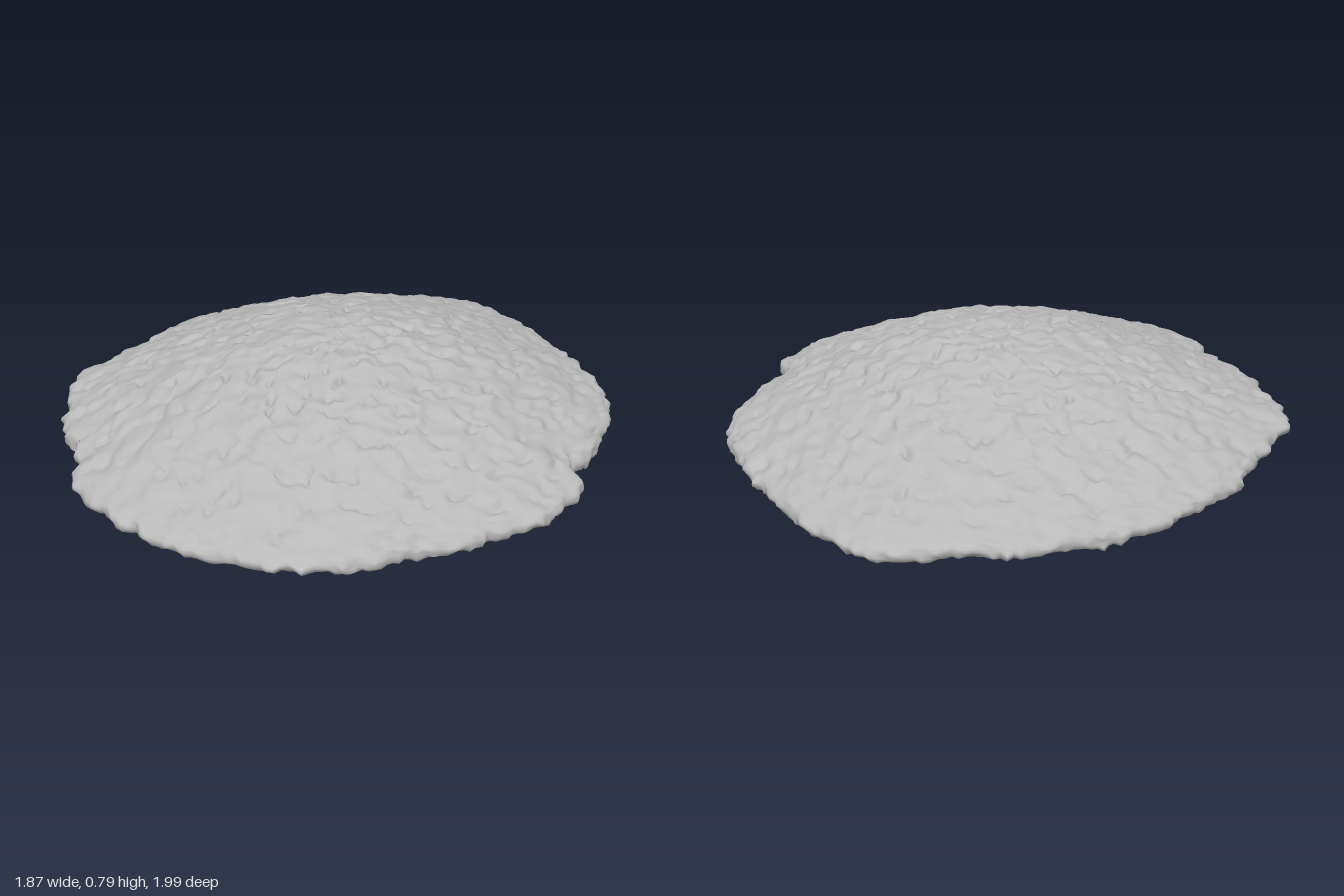
import * as THREE from 'three';
import { mergeVertices } from 'three/addons/utils/BufferGeometryUtils.js';

const grey = new THREE.MeshStandardMaterial({ color: 0xbababa });
grey.name = 'plain grey';

// Seeded lattice noise, range -1..1
function hash(x, y, z) {
  let h = Math.imul(x, 374761393) ^ Math.imul(y, 668265263) ^ Math.imul(z, 2147425257);
  h = Math.imul(h ^ (h >>> 13), 1274126177);
  return (((h ^ (h >>> 16)) >>> 0) / 4294967295) * 2 - 1;
}
function noise(x, y, z) {
  const i = Math.floor(x), j = Math.floor(y), k = Math.floor(z);
  const s = t => t * t * (3 - 2 * t);
  const u = s(x - i), v = s(y - j), w = s(z - k);
  const L = THREE.MathUtils.lerp;
  const row = (b, c) => L(hash(i, j + b, k + c), hash(i + 1, j + b, k + c), u);
  return L(L(row(0, 0), row(1, 0), v), L(row(0, 1), row(1, 1), v), w);
}

// Canopy outline: [angle from +x towards +z in degrees, radius]
const outline = [
  [0, 0.925], [15, 0.9], [27, 0.885], [47, 0.945], [60, 0.955], [75, 0.97], [90, 0.985], [97, 0.995],
  [103, 0.98], [110, 0.93], [120, 0.95], [135, 0.98], [148, 1.0], [156, 0.95], [165, 0.92], [180, 0.925],
  [195, 0.91], [210, 0.925], [225, 0.945], [238, 0.95], [246, 1.0], [255, 1.03], [263, 1.0], [270, 0.975],
  [285, 0.925], [300, 0.935], [315, 0.94], [330, 0.885], [341, 0.855], [344, 0.865], [346, 0.915], [360, 0.925],
];
function outlineRadius(deg) {
  const n = outline.findIndex(p => p[0] >= deg);
  if (n <= 0) return outline[0][1];
  const [a, ra] = outline[n - 1], [b, rb] = outline[n];
  return ra + (rb - ra) * (deg - a) / (b - a);
}

// Canopy section from the underside centre, round the rim, to the crown
const section = [
  [0, 0.5], [0.3, 0.498], [0.6, 0.49], [0.85, 0.478], [0.96, 0.472], [0.99, 0.476], [1, 0.5],
  [0.985, 0.52], [0.92, 0.545], [0.8, 0.592], [0.6, 0.67], [0.4, 0.735], [0.2, 0.775], [0, 0.783],
];

function buildCanopy() {
  // Even steps along the section
  const path = new THREE.CurvePath();
  for (let i = 1; i < section.length; i++) {
    path.add(new THREE.LineCurve(new THREE.Vector2(...section[i - 1]), new THREE.Vector2(...section[i])));
  }
  const geo = new THREE.LatheGeometry(path.getSpacedPoints(190), 300);
  const p = geo.attributes.position;
  for (let i = 0; i < p.count; i++) {
    const x = p.getX(i), y = p.getY(i), z = p.getZ(i);
    const r = Math.hypot(x, z);
    const deg = r < 1e-6 ? 0 : (THREE.MathUtils.radToDeg(Math.atan2(z, x)) + 360) % 360;
    const edge = THREE.MathUtils.smoothstep(r, 0.8, 1);
    const jag = edge * (0.012 * noise(x * 18, y * 12, z * 18) + 0.014 * noise(x * 45, y * 30, z * 45));
    // The ragged outline fades towards an even circle in the middle
    const k = THREE.MathUtils.lerp(0.94, outlineRadius(deg), r ** 4) + jag;

    // Leafy bumps with small sharp pits, hanging lumps below
    const under = y < 0.501 && r < 0.98;
    const side = under ? 50 : 0;
    let bump = 0.007 * noise(x * 11, side, z * 11) + 0.007 * noise(x * 26, side + 9, z * 26);
    bump -= 0.04 * Math.max(0, noise(x * 30, side + 20, z * 30) - 0.45);
    const fade = under ? 1 - edge * 0.8 : 1 - edge * 0.3;
    const yy = y + (under ? -bump * 1.8 : bump) * fade;

    // Sideways drift makes the leaves overlap
    const drift = 0.012 * (1 - edge);
    const dx = drift * noise(x * 24, side + 31, z * 24), dz = drift * noise(x * 24, side + 41, z * 24);
    p.setXYZ(i, x * k + dx, Math.max(yy, 0.46), z * k + dz);
  }
  // Weld the seam and poles so shading is continuous
  geo.deleteAttribute('normal');
  geo.deleteAttribute('uv');
  const welded = mergeVertices(geo, 1e-5);
  welded.computeVertexNormals();
  return welded;
}

// Tapering limb through [x, y, z, radius] stations, closed at both ends
function buildLimb(stations, sides = 14) {
  const curve = new THREE.CatmullRomCurve3(stations.map(s => new THREE.Vector3(s[0], s[1], s[2])));
  const steps = (stations.length - 1) * 6;
  const frames = curve.computeFrenetFrames(steps);
  const pos = [], index = [];
  for (let i = 0; i <= steps; i++) {
    const t = i / steps, f = t * (stations.length - 1);
    const a = Math.min(Math.floor(f), stations.length - 2);
    const radius = THREE.MathUtils.lerp(stations[a][3], stations[a + 1][3], f - a);
    // Parameter t visits the stations evenly; frames follow arc length closely enough
    const c = curve.getPointAt(t);
    // Keep the first ring level when it stands on the ground
    const level = i === 0 && stations[0][1] === 0;
    for (let j = 0; j < sides; j++) {
      const ang = (j / sides) * Math.PI * 2;
      const v = c.clone()
        .addScaledVector(frames.normals[i], Math.cos(ang) * radius)
        .addScaledVector(frames.binormals[i], Math.sin(ang) * radius);
      pos.push(v.x, level ? 0 : Math.max(0, v.y), v.z);
      if (i < steps) {
        const q = i * sides + j, n = i * sides + (j + 1) % sides;
        index.push(q, n, q + sides, n, n + sides, q + sides);
      }
    }
  }
  // End caps with their own vertices
  for (const [ring, flip] of [[0, true], [steps, false]]) {
    const base = pos.length / 3;
    for (let j = 0; j < sides; j++) {
      const o = (ring * sides + j) * 3;
      pos.push(pos[o], pos[o + 1], pos[o + 2]);
    }
    for (let j = 1; j < sides - 1; j++) {
      index.push(base, base + (flip ? j + 1 : j), base + (flip ? j : j + 1));
    }
  }
  const geo = new THREE.BufferGeometry();
  geo.setAttribute('position', new THREE.Float32BufferAttribute(pos, 3));
  geo.setIndex(index);
  geo.computeVertexNormals();
  return geo;
}

const limbs = {
  trunk: [[-0.015, 0, 0.035, 0.049], [-0.013, 0.06, 0.035, 0.041], [-0.01, 0.13, 0.033, 0.038],
    [-0.005, 0.2, 0.03, 0.036], [0.002, 0.27, 0.03, 0.03]],
  // Main forks
  rightFork: [[-0.006, 0.17, 0.03, 0.03], [-0.035, 0.27, 0.018, 0.029], [-0.078, 0.35, -0.04, 0.024],
    [-0.13, 0.41, -0.12, 0.019], [-0.165, 0.44, -0.22, 0.014], [-0.19, 0.46, -0.34, 0.01], [-0.21, 0.5, -0.46, 0.006]],
  leftFork: [[-0.004, 0.17, 0.031, 0.031], [0.03, 0.28, 0.045, 0.03], [0.052, 0.35, 0.06, 0.026],
    [0.058, 0.43, 0.08, 0.019], [0.062, 0.53, 0.09, 0.013]],
  // Spreading branches
  leftBranch: [[0.04, 0.3, 0.05, 0.02], [0.09, 0.365, 0.07, 0.021], [0.17, 0.415, 0.09, 0.017],
    [0.27, 0.45, 0.11, 0.013], [0.41, 0.49, 0.13, 0.007]],
  farRightBranch: [[-0.075, 0.35, -0.035, 0.014], [-0.14, 0.43, -0.04, 0.015], [-0.23, 0.455, -0.01, 0.012],
    [-0.4, 0.48, 0.04, 0.006]],
  backBranch: [[0.11, 0.5, -0.17, 0.012], [0.17, 0.475, -0.25, 0.012], [0.25, 0.47, -0.37, 0.01], [0.34, 0.49, -0.5, 0.006]],
  // Thin twigs
  frontBranch: [[0.045, 0.33, 0.055, 0.012], [0.04, 0.38, 0.09, 0.013], [0.02, 0.43, 0.14, 0.011], [0, 0.49, 0.24, 0.006]],
  rightTwig: [[-0.03, 0.27, 0.02, 0.012], [-0.05, 0.37, 0.03, 0.012], [-0.08, 0.43, 0.05, 0.01], [-0.13, 0.5, 0.08, 0.007]],
  leftTwig: [[0.24, 0.44, 0.105, 0.009], [0.31, 0.455, 0.07, 0.009], [0.39, 0.49, 0.03, 0.006]],
};

export function createModel() {
  const tree = new THREE.Group();
  tree.name = 'umbrellaTree';

  const canopy = new THREE.Mesh(buildCanopy(), grey);
  canopy.name = 'canopy';
  tree.add(canopy);

  const wood = new THREE.Group();
  wood.name = 'trunkAndBranches';
  for (const [name, stations] of Object.entries(limbs)) {
    const mesh = new THREE.Mesh(buildLimb(stations), grey);
    mesh.name = name;
    wood.add(mesh);
  }
  tree.add(wood);
  return tree;
}
